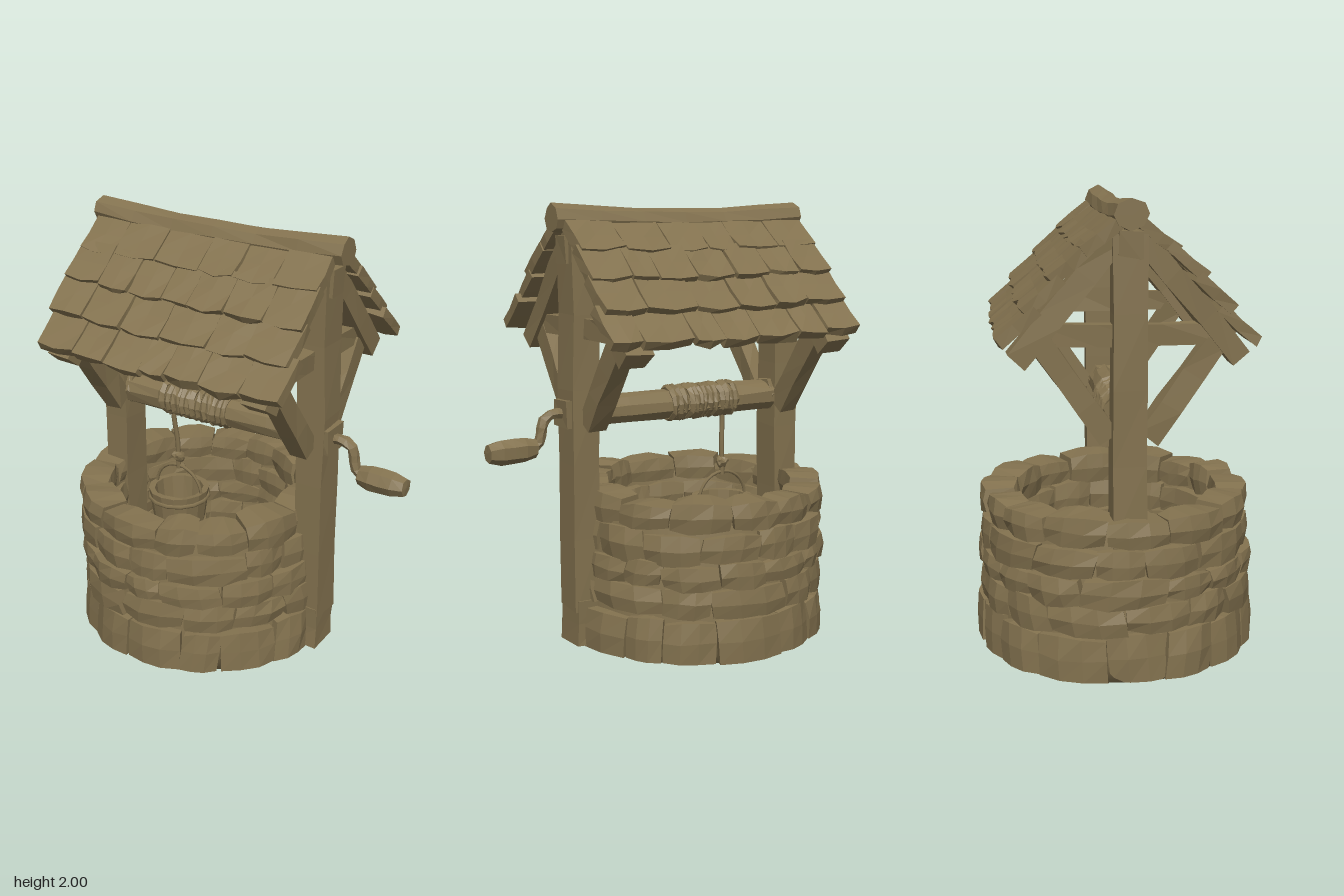
import * as THREE from 'three';
import { mergeVertices, mergeGeometries } from 'three/addons/utils/BufferGeometryUtils.js';

let seed = 7;
function rnd(a = -1, b = 1) {
  seed = (seed * 16807) % 2147483647;
  return a + (b - a) * (seed / 2147483647);
}

// Weld, move every vertex by a rule, then facet
function sculpt(geo, rule) {
  let g = geo.clone();
  g.deleteAttribute('normal');
  g.deleteAttribute('uv');
  g = mergeVertices(g, 1e-4);
  const p = g.attributes.position, v = new THREE.Vector3();
  for (let i = 0; i < p.count; i++) {
    rule(v.fromBufferAttribute(p, i));
    p.setXYZ(i, v.x, v.y, v.z);
  }
  g = g.toNonIndexed();
  g.computeVertexNormals();
  return g;
}
const rough = (geo, j) => sculpt(geo, v => v.set(v.x + rnd() * j, v.y + rnd() * j, v.z + rnd() * j));
const curve = pts => new THREE.CatmullRomCurve3(pts.map(p => new THREE.Vector3(...p)));
const lathe = (pts, sides) => new THREE.LatheGeometry(pts.map(p => new THREE.Vector2(...p)), sides);

export function createModel() {
  seed = 7;
  const model = new THREE.Group();
  const brown = new THREE.MeshStandardMaterial({ color: 0x83724f });
  brown.name = 'weathered brown';
  const add = (name, geo, parent = model) => {
    const m = new THREE.Mesh(geo, brown);
    m.name = name;
    parent.add(m);
    return m;
  };
  // Rough-hewn timber between two points: w across x, d the other way
  const beam = (name, a, b, w, d, j = 0.006, segs = 3) => {
    const A = new THREE.Vector3(...a), B = new THREE.Vector3(...b);
    const dir = B.clone().sub(A);
    const m = add(name, rough(new THREE.BoxGeometry(w, dir.length(), d, 1, segs, 1), j));
    m.position.copy(A).add(B).multiplyScalar(0.5);
    m.quaternion.setFromUnitVectors(new THREE.Vector3(0, 1, 0), dir.normalize());
  };
  // Faceted round bar along x
  const bar = (name, x0, x1, y, r, sides, j = 0.006, segs = 3, r1 = r) => {
    const g = new THREE.CylinderGeometry(r1, r, x1 - x0, sides, segs).rotateZ(-Math.PI / 2);
    const m = add(name, rough(g, j));
    m.position.set((x0 + x1) / 2, y, 0);
    return m;
  };

  // Stone wall: five courses of rounded blocks bent round the shaft
  const rows = [ // bottom, top, outer radius, centre x, blocks
    [0, 0.2, 0.62, -0.207, 15], [0.2, 0.335, 0.614, -0.215, 13], [0.335, 0.445, 0.616, -0.222, 15],
    [0.445, 0.585, 0.606, -0.23, 14], [0.585, 0.715, 0.602, -0.235, 14],
  ];
  const block = new THREE.BoxGeometry(1, 1, 1, 3, 2, 1);
  rows.forEach(([y0, y1, R, cx, n], row) => {
    const cuts = [];
    for (let i = 0; i < n; i++) cuts.push(((i + row * 0.45 + rnd() * 0.24) / n) * Math.PI * 2);
    cuts.push(cuts[0] + Math.PI * 2);
    const stones = [];
    for (let i = 0; i < n; i++) {
      const out = R + rnd(-0.01, 0.012), inner = 0.428 + rnd() * 0.012;
      const top = y1 + rnd() * 0.012, slant = rnd() * 0.05;
      const low = row ? y0 + rnd() * 0.01 : 0;
      stones.push(sculpt(block, v => {
        const foot = row === 0 && v.y < 0;
        const side = Math.abs(v.x) > 0.49, end = Math.abs(v.y) > 0.49 && !foot;
        const t = cuts[i] + 0.004 + (v.x + 0.5) * (cuts[i + 1] - cuts[i] - 0.008) + slant * v.y;
        const pull = (side ? 0.014 : 0) + (end ? 0.011 : 0);
        const r = (v.z > 0 ? out - pull : inner + pull) + rnd() * 0.005;
        let y = low + (v.y + 0.5) * (top - low);
        if (side && end) y -= Math.sign(v.y) * 0.012;
        if (y > 0) y += rnd() * 0.005;
        v.set(cx + Math.cos(t) * r, Math.max(0, y), -Math.sin(t) * r);
      }));
    }
    add('stoneCourse' + (row + 1), mergeGeometries(stones));
  });
  // Mortar core behind the joints, closing the flat underside
  const ring = [[0.44, 0], [0.6, 0], [0.575, 0.1], [0.555, 0.67], [0.475, 0.67], [0.46, 0.1], [0.44, 0]];
  add('mortarCore', lathe(ring, 40)).position.x = -0.214;
  // Stone that carries the outer post
  beam('footStone', [0.385, 0, 0], [0.385, 0.22, 0], 0.13, 0.16, 0.008, 2);

  // Two gable frames: post, rafters, tie beam and braces
  for (const s of [-1, 1]) {
    const x = s < 0 ? -0.71 : 0.39, inX = x - s * 0.025;
    const side = s < 0 ? 'right' : 'left';
    beam(side + 'Post', [s < 0 ? -0.715 : 0.396, s < 0 ? 0.3 : 0.17, 0], [x, 1.86, 0], 0.13, 0.145, 0.006, 5);
    beam(side + 'TieBeam', [inX, 1.455, -0.38], [inX, 1.455, 0.38], 0.08, 0.09);
    for (const f of [-1, 1]) {
      const end = f > 0 ? 'Front' : 'Back';
      beam(side + end + 'Rafter', [inX, 1.865, f * 0.03], [inX, 1.355, f * 0.458], 0.13, 0.09);
      beam(side + end + 'Brace', [inX, 1.03, f * 0.08], [inX, 1.42, f * 0.355], 0.09, 0.095);
    }
  }
  beam('ridgePurlin', [-0.775, 1.805, 0], [0.475, 1.805, 0], 0.125, 0.1);

  // Sagging ridge log
  const ridge = sculpt(new THREE.CylinderGeometry(0.068, 0.068, 1.3, 8, 6).rotateZ(-Math.PI / 2), v => {
    const k = v.x / 0.65;
    v.y = v.y * 0.92 + 0.022 * k * k + rnd() * 0.004;
    v.z = v.z * (1 - 0.06 * k) + rnd() * 0.004;
  });
  add('ridgeLog', ridge).position.set(-0.135, 1.914, 0);

  // Four overlapping shingle rows on each slope: low edge z, y, right end x, length, tilt
  const slope = [
    [0.53, 1.408, 0.515, 0.22, 0.74], [0.425, 1.536, 0.492, 0.21, 0.74],
    [0.315, 1.66, 0.492, 0.21, 0.74], [0.195, 1.775, 0.482, 0.19, 0.7],
  ];
  for (const f of [-1, 1]) {
    const shingles = [];
    slope.forEach(([z, y, finish, len, tilt], row) => {
      const n = 7 - (row % 2), cuts = [];
      const start = -0.77 + rnd() * 0.008;
      for (let i = 0; i <= n; i++) {
        const t = i / n + (i % n ? rnd() * 0.03 : 0);
        cuts.push(start + (finish - start) * t);
      }
      for (let i = 0; i < n; i++) {
        const w = cuts[i + 1] - cuts[i] - 0.004;
        const mid = (cuts[i] + cuts[i + 1]) / 2, k = (mid + 0.13) / 0.65;
        const g = sculpt(new THREE.BoxGeometry(w, 0.048, len, 2, 1, 2), v => {
          const lowEnd = v.z * f > 0.05, edge = Math.abs(v.x) > w * 0.45;
          if (lowEnd && edge) {
            v.z -= f * 0.012;
            v.x *= 0.97;
          }
          if (lowEnd) v.z += rnd() * 0.01;
          v.x += rnd() * 0.004;
          v.y += rnd() * 0.004 + (lowEnd ? 0.006 : 0);
        });
        g.rotateX(f * tilt);
        g.rotateY(rnd() * 0.02);
        g.translate(mid, y + Math.sin(tilt) * len / 2 + 0.015 * k * k + rnd() * 0.005,
          f * (z - Math.cos(tilt) * len / 2 + rnd() * 0.005));
        shingles.push(g);
      }
    });
    add(f > 0 ? 'frontShingles' : 'backShingles', mergeGeometries(shingles));
  }

  // Windlass drum with its bearings
  bar('drum', -0.66, 0.36, 1.075, 0.078, 9, 0.006, 5, 0.066);
  bar('drumCollar', 0.27, 0.36, 1.08, 0.066, 6);
  beam('leftBearing', [0.43, 1.08, 0], [0.485, 1.08, 0], 0.12, 0.13, 0.006, 1);
  bar('rightBearing', -0.66, -0.62, 1.08, 0.08, 6);

  // Rope wound round the drum
  const coils = [];
  for (let i = 0; i < 13; i++) {
    const g = rough(new THREE.TorusGeometry(0.071, 0.017, 5, 12), 0.004);
    g.rotateY(Math.PI / 2 + rnd() * 0.14).rotateZ(rnd() * 0.1);
    coils.push(g.translate(-0.42 + i * 0.0285, 1.078, 0));
  }
  add('ropeCoils', mergeGeometries(coils));
  const rope = curve([[-0.4, 1.05, 0.02], [-0.395, 0.95, 0.015], [-0.387, 0.85, 0.005], [-0.388, 0.7, 0]]);
  add('hangingRope', new THREE.TubeGeometry(rope, 8, 0.012, 6));
  add('ropeKnot', rough(new THREE.IcosahedronGeometry(0.03, 1), 0.006)).position.set(-0.388, 0.765, 0);

  // Bucket with hoops and a bail handle
  const bucket = new THREE.Group();
  bucket.name = 'bucket';
  bucket.position.set(-0.39, 0.37, 0);
  model.add(bucket);
  const staves = [[0, 0], [0.12, 0], [0.15, 0.225], [0.12, 0.225], [0.1, 0.03], [0, 0.03]];
  add('bucketBody', rough(lathe(staves, 14), 0.002), bucket);
  for (const [y, r] of [[0.05, 0.128], [0.185, 0.146]]) {
    add('bucketHoop', new THREE.TorusGeometry(r, 0.011, 5, 14).rotateX(Math.PI / 2), bucket).position.y = y;
  }
  add('bucketHandle', new THREE.TorusGeometry(0.135, 0.008, 5, 14, Math.PI), bucket).position.y = 0.21;

  // Bent crank arm and its grip
  const crank = curve([[0.47, 1.08, 0], [0.52, 1.082, 0], [0.565, 1.06, 0], [0.582, 0.99, 0], [0.6, 0.945, 0], [0.65, 0.935, 0]]);
  add('crankArm', rough(new THREE.TubeGeometry(crank, 8, 0.024, 6), 0.003));
  const grip = bar('crankGrip', 0.612, 0.837, 0.935, 0.056, 7, 0.003, 4);
  grip.geometry = sculpt(grip.geometry, v => {
    const taper = Math.abs(v.x) > 0.09 ? 0.75 : 1;
    v.y *= taper;
    v.z *= taper;
  });
  return model;
}
